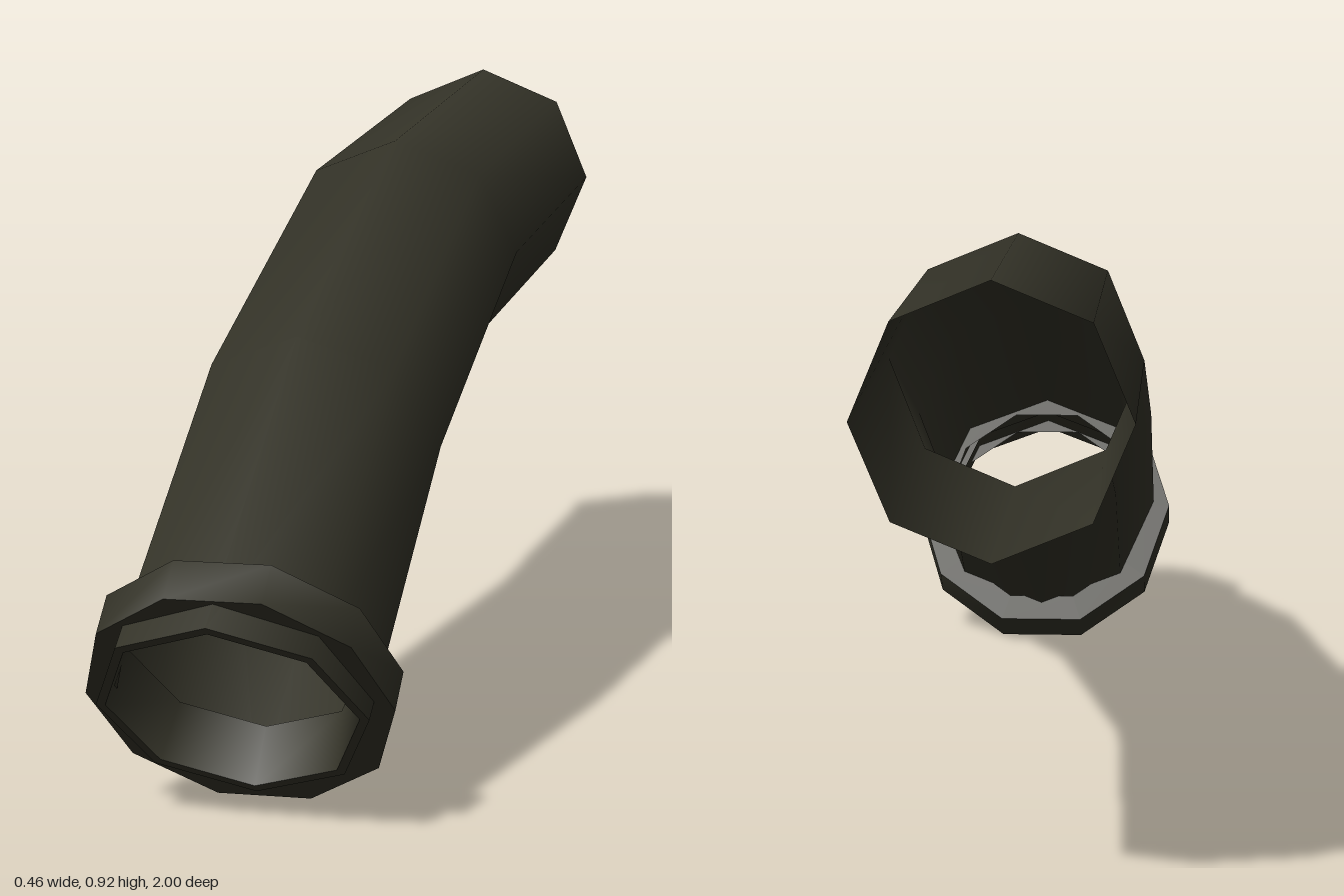
import * as THREE from 'three';

// A ring lies in the plane of x and a tilted "up" line, given by its top and bottom [z, y].
function ring(top, bottom, rx) {
  return {
    z: (top[0] + bottom[0]) / 2, y: (top[1] + bottom[1]) / 2,
    uz: (top[0] - bottom[0]) / 2, uy: (top[1] - bottom[1]) / 2, rx,
  };
}

// Same ring scaled about its centre and shifted along [z, y]
function shifted(r, scale, dz = 0, dy = 0) {
  return { z: r.z + dz, y: r.y + dy, uz: r.uz * scale, uy: r.uy * scale, rx: r.rx * scale };
}

// Smooth skin through rings of n corners, listed from back to front
function loft(rings, n, turn = 0) {
  const pos = [], index = [];
  for (const r of rings) {
    for (let k = 0; k < n; k++) {
      const a = ((k + turn) / n) * Math.PI * 2, c = Math.cos(a);
      pos.push(r.rx * Math.sin(a), r.y + r.uy * c, r.z + r.uz * c);
    }
  }
  for (let i = 0; i < rings.length - 1; i++) {
    for (let k = 0; k < n; k++) {
      const a = i * n + k, b = i * n + ((k + 1) % n);
      index.push(a, a + n, b, b, a + n, b + n);
    }
  }
  const g = new THREE.BufferGeometry();
  g.setAttribute('position', new THREE.Float32BufferAttribute(pos, 3));
  g.setIndex(index);
  g.computeVertexNormals();
  return g;
}

export function createModel() {
  const group = new THREE.Group();
  const rubber = new THREE.MeshStandardMaterial({ color: 0x343328, side: THREE.DoubleSide });
  rubber.name = 'dark olive rubber';
  const add = (name, geometry) => {
    const mesh = new THREE.Mesh(geometry, rubber);
    mesh.name = name;
    group.add(mesh);
  };

  // Bent eight-sided hose, open at both ends
  const mouth = ring([1, 0.33], [0.72, 0.02], 0.2);
  add('hose', loft([
    ring([-1, 0.92], [-1, 0.53], 0.195),
    ring([-0.23, 0.87], [-0.34, 0.495], 0.196),
    ring([0.46, 0.65], [0.26, 0.295], 0.199),
    mouth,
  ], 8));

  // Thin rim and inner wall of the mouth
  const inner = shifted(mouth, 0.93);
  add('mouthRim', loft([mouth, inner], 8));
  add('mouthLining', loft([inner, shifted(mouth, 0.86, -0.08, 0.06)], 8));

  // Ten-sided collar around the front end; the scale makes up for its flat top
  const h = 1 / Math.cos(Math.PI / 10);
  const back = ring([0.907, 0.402], [0.618, 0.043], 0.228);
  back.uz *= h;
  back.uy *= h;
  const front = shifted(back, 1, 0.055, -0.043);
  add('collarBack', loft([shifted(back, 0.8), back], 10, 0.5));
  add('collarBand', loft([back, front], 10, 0.5));
  add('collarFront', loft([front, shifted(front, 0.8)], 10, 0.5));

  return group;
}
